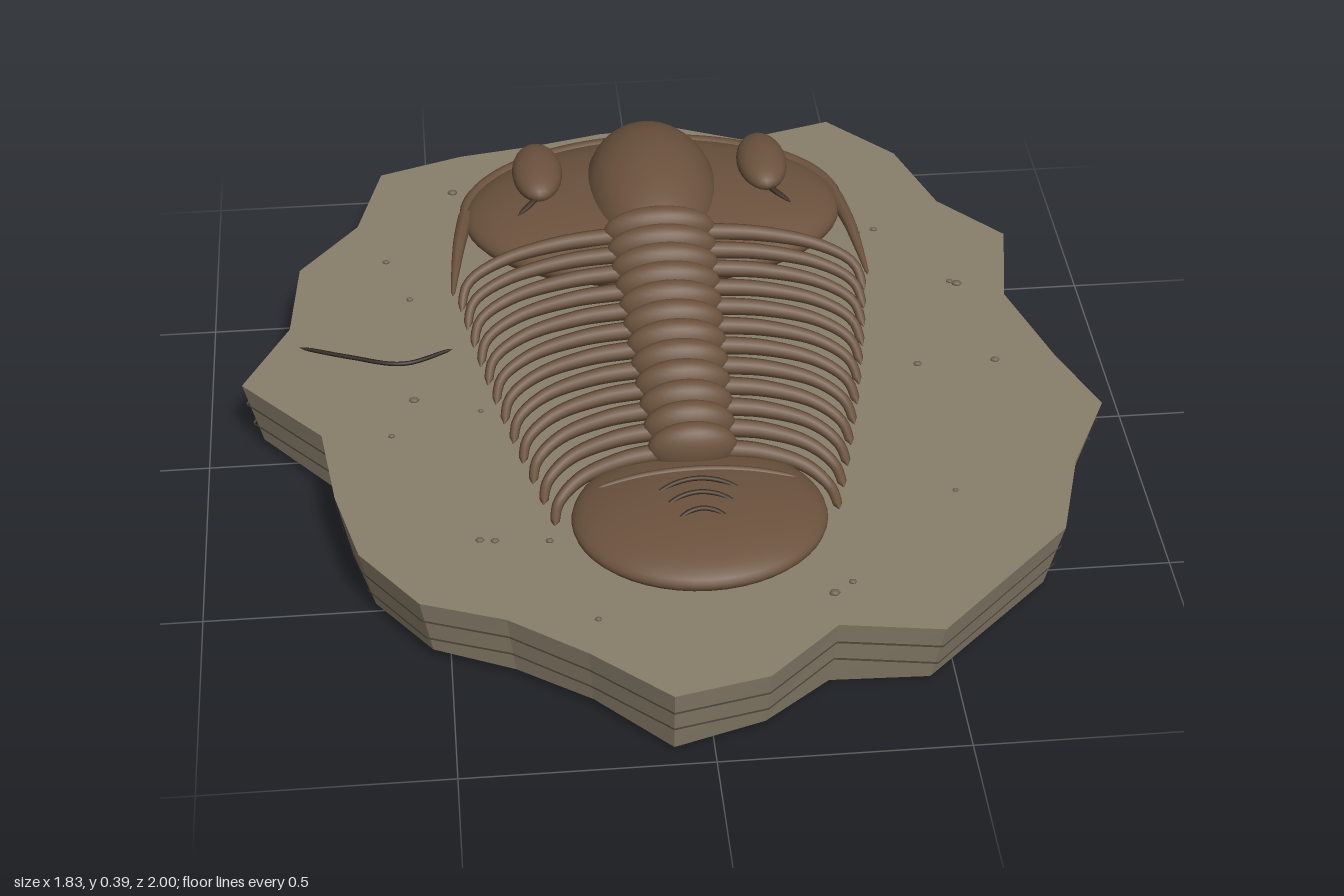
import * as THREE from 'three';

const mat = (name, color, side = THREE.FrontSide) => {
  const m = new THREE.MeshStandardMaterial({ color, side });
  m.name = name;
  return m;
};

export function createModel() {
  const stone = mat('stone', 0x8a7f6b);
  stone.flatShading = true;
  const strata = mat('strata', 0x5a5142, THREE.DoubleSide);
  const shell = mat('shell', 0x6b523d);
  const groove = mat('groove', 0x3e2d20);
  const crackMat = mat('crack', 0x2a2119);
  const pebbleMat = mat('pebble', 0x6f6452);

  const model = new THREE.Group();
  model.name = 'fossilSlab';
  const fossil = new THREE.Group();
  fossil.name = 'fossil';
  fossil.position.x = 0.012;
  model.add(fossil);

  let seed = 7;
  const rand = () => (seed = (seed * 16807) % 2147483647) / 2147483647;
  const V = (x, y, z) => new THREE.Vector3(x, y, z);

  function add(parent, name, geo, material) {
    const m = new THREE.Mesh(geo, material);
    m.name = name;
    parent.add(m);
    return m;
  }
  function ellipsoid(parent, name, [x, y, z], [rx, ry, rz], material = shell, w = 40, h = 24) {
    const m = add(parent, name, new THREE.SphereGeometry(1, w, h).scale(rx, ry, rz), material);
    m.position.set(x, y, z);
    return m;
  }
  // Tube whose radius follows a rule along its length
  function tube(parent, name, pts, radius, material, seg = 24, sides = 8) {
    const curve = new THREE.CatmullRomCurve3(pts);
    const geo = new THREE.TubeGeometry(curve, seg, 1, sides);
    const p = geo.attributes.position, v = V(0, 0, 0);
    for (let i = 0; i <= seg; i++) {
      const c = curve.getPointAt(i / seg), r = radius(i / seg);
      for (let j = 0; j <= sides; j++) {
        const k = i * (sides + 1) + j;
        v.fromBufferAttribute(p, k).sub(c).multiplyScalar(r).add(c);
        p.setXYZ(k, v.x, v.y, v.z);
      }
    }
    return add(parent, name, geo, material);
  }
  const closedEnds = r => t => r * Math.min(1, Math.sqrt(Math.max(0, 1 - (2 * t - 1) ** 8)));
  const pointed = (a, b) => t => t > 0.999 ? 0.0005 : a + (b - a) * t ** 1.5;

  // Broken rock slab: irregular outline, tapered walls, uneven underside
  const outline = [
    [-0.605, -0.852], [-0.415, -0.916], [-0.235, -0.947], [-0.077, -0.985], [0.098, -1], [0.26, -0.93],
    [0.473, -0.99], [0.615, -0.836], [0.684, -0.624], [0.816, -0.476], [0.774, -0.242], [0.845, 0.0],
    [0.911, 0.171], [0.816, 0.362], [0.753, 0.574], [0.462, 0.855], [0.256, 0.823], [0.108, 0.956],
    [-0.082, 0.997], [-0.235, 0.86], [-0.388, 0.749], [-0.557, 0.686], [-0.674, 0.527], [-0.721, 0.341],
    [-0.747, 0.134], [-0.917, -0.057], [-0.816, -0.253], [-0.795, -0.476], [-0.663, -0.64],
  ];
  const n = outline.length, TOP = 0.175;
  const ring = (y, grow = 1, drop = null) => outline.map(([x, z], i) => {
    const s = (0.96 + 0.04 * y / TOP) * grow;
    return V(x * s, drop ? drop[i] : y, z * s);
  });
  const low = outline.map((_, i) => (i === 16 ? 0 : 0.004 + rand() * 0.026));
  function wall(a, b, out) {
    for (let i = 0; i < n; i++) {
      const j = (i + 1) % n;
      out.push(a[i], a[j], b[j], a[i], b[j], b[i]);
    }
  }
  const solid = pts => {
    const g = new THREE.BufferGeometry().setFromPoints(pts);
    g.computeVertexNormals();
    return g;
  };
  const top = ring(TOP), bottom = ring(0, 1, low), slab = [];
  wall(top, bottom, slab);
  for (let i = 0; i < n; i++) {
    const j = (i + 1) % n;
    slab.push(V(0, TOP, 0), top[j], top[i], V(0, 0.02, 0), bottom[i], bottom[j]);
  }
  add(model, 'rockSlab', solid(slab), stone);

  // Thin bedding lines round the slab wall
  for (const y of [0.125, 0.073]) {
    const band = [];
    wall(ring(y + 0.003, 1.005), ring(y - 0.003, 1.005), band);
    add(model, 'beddingLine', solid(band), strata);
  }

  // Crack and scattered grains on the slab top
  tube(model, 'crack', [V(-0.795, 0.178, -0.18), V(-0.685, 0.178, -0.135), V(-0.57, 0.178, -0.1), V(-0.46, 0.178, -0.145)],
    closedEnds(0.005), crackMat);
  const grains = [
    [-0.44, -0.76], [-0.35, -0.79], [-0.6, -0.49], [-0.55, -0.34], [-0.07, -0.85], [0.1, -0.87], [0.21, -0.83],
    [0.48, -0.51], [0.52, -0.52], [0.66, -0.3], [0.675, -0.29], [0.54, 0], [0.71, 0], [-0.55, 0.03], [-0.41, 0.08],
    [-0.6, 0.15], [-0.43, 0.505], [-0.4, 0.51], [-0.29, 0.52], [-0.21, 0.765], [0.26, 0.73], [0.55, 0.435], [0.3, 0.7],
  ];
  for (const [x, z] of grains) {
    const r = 0.006 + rand() * 0.006;
    ellipsoid(model, 'grain', [x, TOP + 0.002, z], [r, r * 0.6, r * 0.75], pebbleMat, 8, 6);
  }

  // Head shield, central lobe and raised rim
  ellipsoid(fossil, 'headShield', [0, 0.232, -0.558], [0.43, 0.083, 0.275], shell, 56, 28);
  ellipsoid(fossil, 'headLobe', [0, 0.275, -0.578], [0.15, 0.115, 0.238]);
  const rim = [];
  for (let i = 0; i <= 20; i++) {
    const a = Math.PI * i / 20;
    rim.push(V(-0.43 * Math.cos(a), 0.235 + 0.01 * Math.sin(a), -0.55 - 0.277 * Math.sin(a)));
  }
  tube(fossil, 'headRim', rim, closedEnds(0.02), shell, 64, 10);

  for (const s of [-1, 1]) {
    // Cheek spine, eye and suture line
    tube(fossil, 'cheekSpine', [V(s * 0.425, 0.238, -0.57), V(s * 0.443, 0.23, -0.48), V(s * 0.456, 0.21, -0.4), V(s * 0.466, 0.19, -0.325)],
      pointed(0.018, 0.004), shell);
    ellipsoid(fossil, 'eye', [s * 0.258, 0.31, -0.625], [0.057, 0.038, 0.107], shell, 28, 18);
    tube(fossil, 'suture', [V(s * 0.25, 0.286, -0.755), V(s * 0.235, 0.3, -0.7), V(s * 0.24, 0.307, -0.6), V(s * 0.267, 0.302, -0.53), V(s * 0.31, 0.286, -0.487)],
      closedEnds(0.007), groove);
  }

  // Body segments: an axial ring with a pair of swept ribs
  const SEGMENTS = 12;
  for (let i = 0; i < SEGMENTS; i++) {
    const t = i / (SEGMENTS - 1), z = -0.375 + 0.753 * t;
    const w = 0.45 - 0.11 * t - 0.05 * t * t, y = 0.308 - 0.022 * t;
    ellipsoid(fossil, 'axialRing', [0, y, z], [0.124 - 0.032 * t, 0.058, 0.037], shell, 28, 16);
    for (const s of [-1, 1]) {
      tube(fossil, 'rib', [
        V(s * 0.06, y - 0.01, z), V(s * w * 0.5, y - 0.022, z + 0.006), V(s * w * 0.8, y - 0.05, z + 0.024),
        V(s * w * 0.96, y - 0.08, z + 0.06), V(s * w, 0.188, z + 0.11),
      ], pointed(0.02, 0.009), shell);
    }
  }

  // Tail shield with raised arcs
  ellipsoid(fossil, 'tailShield', [0, 0.228, 0.532], [0.258, 0.054, 0.22], shell, 48, 24);
  const arcs = [[0.45, 0.205, 0.02, 0.255, 0.274], [0.497, 0.085, 0.022, 0.274, 0.288],
    [0.54, 0.072, 0.022, 0.274, 0.288], [0.585, 0.052, 0.018, 0.272, 0.286]];
  arcs.forEach(([z, w, bow, yEnd, yMid], i) => {
    const pts = [-1, -0.5, 0, 0.5, 1].map(u => V(w * u, yMid + (yEnd - yMid) * u * u, z - bow * (1 - u * u) + 0.01));
    tube(fossil, 'tailArc', pts, closedEnds(i ? 0.005 : 0.008), i ? groove : shell);
  });

  return model;
}
